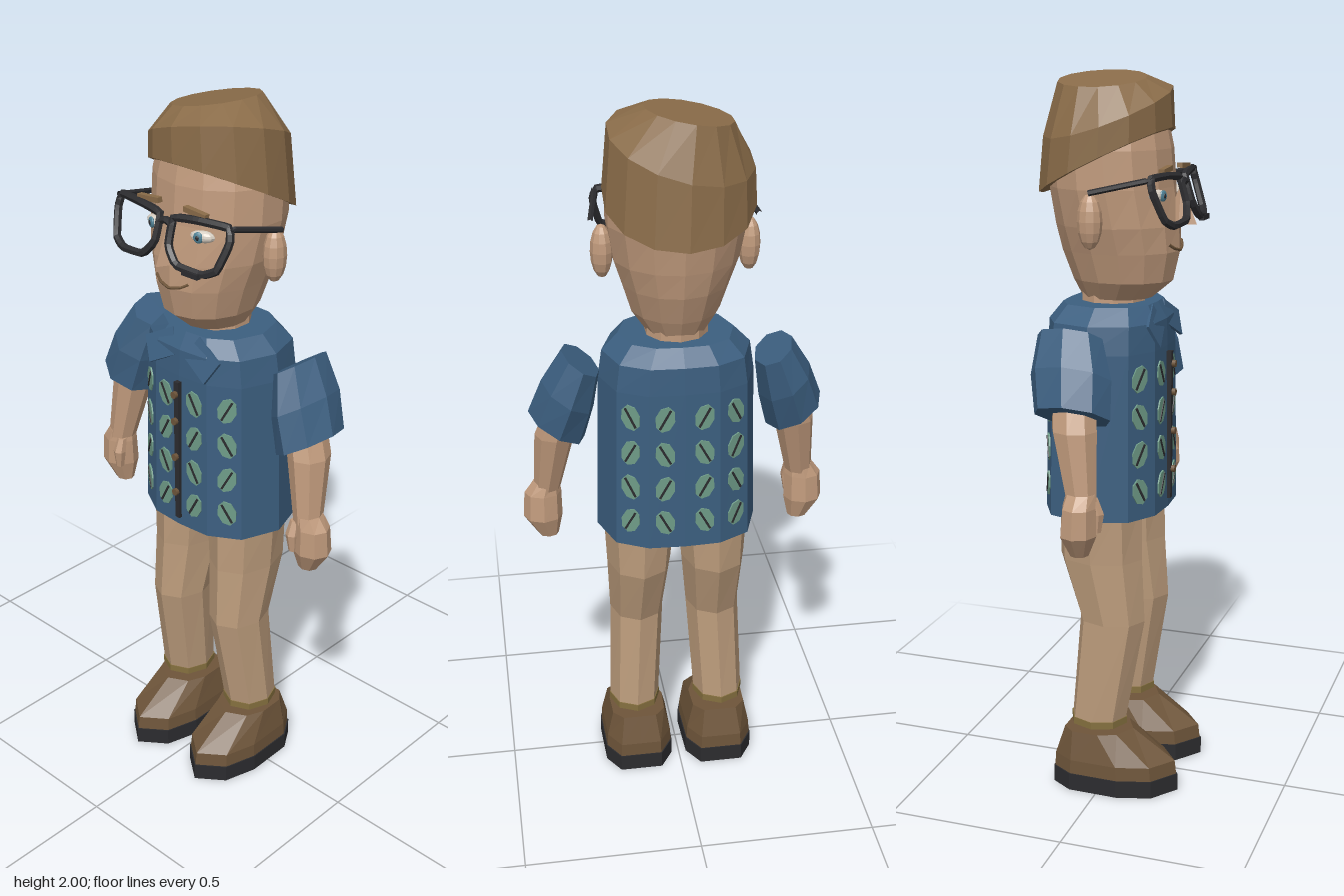
import * as THREE from 'three';

const mat = (name, color) => {
  const m = new THREE.MeshStandardMaterial({ color });
  m.name = name;
  return m;
};

// Ring of points, counter-clockwise from above, starting at the front
const ring = (cx, y, cz, rx, rz, n = 8, slope = 0) =>
  Array.from({ length: n }, (_, i) => {
    const a = (i / n) * Math.PI * 2, dx = rx * Math.sin(a);
    return [cx + dx, y + slope * dx, cz + rz * Math.cos(a)];
  });

// Mirrors a half outline (front to back on +x) into a closed one
const mirrorOutline = half =>
  [...half, ...half.slice(1, -1).reverse().map(([x, z]) => [-x, z])];

// Faceted, capped skin through rings listed from bottom to top
function loft(rings) {
  const v = [], n = rings[0].length;
  const mid = r => [0, 1, 2].map(k => r.reduce((s, p) => s + p[k], 0) / n);
  const low = rings[0], high = rings[rings.length - 1];
  for (let j = 0; j < n; j++) {
    const k = (j + 1) % n;
    for (let i = 0; i < rings.length - 1; i++) {
      const a = rings[i], b = rings[i + 1];
      v.push(...a[j], ...a[k], ...b[k], ...a[j], ...b[k], ...b[j]);
    }
    v.push(...mid(low), ...low[k], ...low[j], ...mid(high), ...high[j], ...high[k]);
  }
  const g = new THREE.BufferGeometry();
  g.setAttribute('position', new THREE.Float32BufferAttribute(v, 3));
  g.computeVertexNormals();
  return g;
}

const flat = g => {
  const f = g.toNonIndexed();
  f.computeVertexNormals();
  return f;
};

export function createModel() {
  const model = new THREE.Group();
  model.name = 'man';
  const skin = mat('skin', 0xc09a7c), trousers = mat('trousers', 0xbb9b7b);
  const hair = mat('hair', 0x8a6c49), shirt = mat('shirt', 0x3c5f80);
  const leather = mat('shoe leather', 0x6e553a), black = mat('black', 0x2c2c2f);
  const leaf = mat('leaf print', 0x6f9c88), white = mat('eye white', 0xd6cec2);
  const iris = mat('iris', 0x4f8296), sock = mat('sock', 0x85703f);

  const add = (name, geo, m, parent = model) => {
    const mesh = new THREE.Mesh(geo, m);
    mesh.name = name;
    parent.add(mesh);
    return mesh;
  };
  const box = (name, m, w, h, d, x, y, z, parent) => {
    const b = add(name, new THREE.BoxGeometry(w, h, d), m, parent);
    b.position.set(x, y, z);
    return b;
  };
  const tube = (name, pts, r, m, closed = false) => {
    const c = new THREE.CatmullRomCurve3(pts.map(p => new THREE.Vector3(...p)), closed, 'catmullrom', 0.15);
    return add(name, flat(new THREE.TubeGeometry(c, pts.length * 4, r, 6, closed)), m);
  };
  const blob = (name, m, r, p) => {
    const b = add(name, flat(new THREE.SphereGeometry(1, 10, 8).scale(...r)), m);
    b.position.set(...p);
    return b;
  };

  // Head: height, half width, front z, back z
  const skull = [
    [1.40, .085, .09, -.105], [1.45, .122, .15, -.13], [1.53, .147, .168, -.16], [1.60, .17, .165, -.175],
    [1.70, .186, .15, -.19], [1.80, .186, .142, -.195], [1.86, .17, .13, -.185], [1.92, .1, .08, -.14],
  ];
  add('head', loft(skull.map(([y, rx, f, b]) => ring(0, y, (f + b) / 2, rx, (f - b) / 2, 14))), skin);
  add('neck', loft([ring(0, 1.33, -.02, .09, .09, 10), ring(0, 1.43, -.02, .085, .09, 10)]), skin);

  // Hair: lopsided cap with a rising front edge
  const hairRing = (cx, cz, rx, rz, height) =>
    ring(cx, 0, cz, rx, rz, 14).map(([x, , z]) => [x, height((x - cx) / rx, (z - cz) / rz), z]);
  add('hair', loft([
    hairRing(-.006, -.036, .2, .182, (s, c) => 1.765 + .09 * c),
    hairRing(-.012, -.03, .19, .172, (s, c) => 1.895 + .05 * c + .045 * s),
    hairRing(-.03, -.04, .115, .12, s => 1.98 + .02 * s),
  ]), hair);

  // Face
  const nose = add('nose', flat(new THREE.CylinderGeometry(.003, .045, .1, 4).scale(.5, 1, 1)), skin);
  nose.position.set(0, 1.652, .17);
  tube('mouth', [-.058, -.035, 0, .035, .058].map(x => [x, 1.533 + 6 * x * x, .17 - 4.5 * x * x]), .004, leather);
  for (const s of [1, -1]) {
    blob('ear', skin, [.03, .073, .034], [s * .195, 1.622, -.018]);
    blob('eye', white, [.034, .016, .016], [s * .085, 1.683, .132]).rotation.y = s * .35;
    blob('iris', iris, [.014, .015, .006], [s * .083, 1.683, .146]).rotation.y = s * .35;
    blob('pupil', black, [.006, .007, .004], [s * .083, 1.683, .15]);
    const brow = box('eyebrow', hair, .075, .014, .016, s * .082, 1.75, .152);
    brow.rotation.z = -s * .08;
  }

  // Glasses: bowed and leaning out at the bottom
  const onLens = (x, y) => [x, y, .187 - .7 * x * x + (1.68 - y) * .3];
  const rim = [[.024, 1.728], [.1, 1.737], [.188, 1.735], [.198, 1.7], [.178, 1.63], [.14, 1.613], [.06, 1.62], [.024, 1.66]];
  for (const s of [1, -1]) {
    tube('glassesRim', rim.map(([x, y]) => onLens(s * x, y)), .011, black, true);
    tube('glassesTemple', [[s * .192, 1.735, .155], [s * .222, 1.698, -.012]], .008, black);
  }
  tube('glassesBridge', [onLens(-.026, 1.71), onLens(0, 1.718), onLens(.026, 1.71)], .01, black);
  box('rimClip', black, .055, .014, .014, .112, 1.61, .203);

  // Shirt body
  const half = [[0, .142], [.1, .135], [.185, .085], [.225, -.025], [.185, -.14], [.1, -.185], [0, -.19]];
  const outline = mirrorOutline(half);
  const shirtRing = (y, sx, sz) => outline.map(([x, z]) => [x * sx, y, z * sz]);
  add('shirtBody', loft([
    shirtRing(.81, 1, 1), shirtRing(1.27, .95, .96), shirtRing(1.345, .9, .94), shirtRing(1.39, .7, .76),
  ]), shirt);

  // Leaf prints on the four front and four back panels
  const panels = [[0, .55], [1, .58], [4, .45], [5, .45]];
  for (const s of [1, -1]) for (const [i, t] of panels) {
    const [x0, z0] = half[i], [x1, z1] = half[i + 1];
    const angle = Math.atan2(s * (z0 - z1), x1 - x0);
    for (let row = 0; row < 4; row++) {
      const y = .89 + row * .104, k = 1 - .1 * (y - .81);
      const print = new THREE.Group();
      print.name = 'leafPrint';
      print.position.set(s * (x0 + (x1 - x0) * t) * k, y, (z0 + (z1 - z0) * t) * k);
      print.rotation.y = angle;
      model.add(print);
      const tilt = (row + i) % 2 ? .5 : -.5;
      const disc = add('leaf', flat(new THREE.CylinderGeometry(1, 1, .008, 8).rotateX(Math.PI / 2).scale(.027, .038, 1)), leaf, print);
      disc.rotation.z = tilt * .5;
      box('leafVein', black, .006, .062, .005, 0, 0, .004, print).rotation.z = tilt;
    }
  }

  // Placket, buttons and collar
  box('placket', black, .016, .42, .014, 0, 1.045, .143);
  for (const y of [.92, 1.03, 1.14, 1.22]) {
    const b = add('button', new THREE.CylinderGeometry(.01, .01, .01, 8), leather);
    b.rotation.x = Math.PI / 2;
    b.position.set(0, y, .156);
  }
  for (const s of [1, -1]) {
    const flap = box('collarFlap', shirt, .1, .075, .008, s * .075, 1.335, .125);
    flap.rotation.set(-.35, 0, -s * .5);
  }

  for (const s of [1, -1]) {
    // Arms
    add('sleeve', loft([
      ring(s * .33, 1.132, -.02, .076, .105, 8, s * .57),
      ring(s * .298, 1.23, -.035, .07, .112, 8, s * .6),
      ring(s * .262, 1.33, -.05, .05, .09, 8, s * .63),
    ]), shirt);
    add('forearm', loft([
      ring(s * .361, .92, .015, .038, .042), ring(s * .335, 1.1, -.012, .056, .062), ring(s * .295, 1.22, -.03, .05, .06),
    ]), skin);
    add('hand', loft([
      ring(s * .362, .77, .01, .028, .025), ring(s * .376, .83, .012, .055, .05),
      ring(s * .374, .905, .014, .052, .046), ring(s * .364, .94, .015, .036, .04),
    ]), skin);
    add('thumb', loft([
      ring(s * .34, .83, .05, .012, .012, 6), ring(s * .338, .88, .052, .019, .018, 6), ring(s * .338, .92, .04, .014, .014, 6),
    ]), skin);

    // Legs
    add('trouserLeg', loft([
      ring(s * .127, .205, -.02, .073, .08), ring(s * .113, .5, .015, .078, .095),
      ring(s * .108, .68, -.02, .092, .12), ring(s * .104, .85, -.022, .104, .12),
    ]), trousers);
    add('sock', loft([ring(s * .127, .188, -.02, .075, .083), ring(s * .127, .208, -.02, .075, .083)]), sock);

    // Shoes: pointed outline stretched between heel and toe
    const foot = mirrorOutline([[0, 1], [.73, .84], [1, .57], [.97, .17], [.6, 0], [0, 0]]);
    const shoeRing = (y, w, toe, heel) => foot.map(([x, t]) => [s * .122 + x * w, y, heel + (toe - heel) * t]);
    add('sole', loft([shoeRing(0, .103, .214, -.14), shoeRing(.05, .103, .214, -.14)]), black);
    add('shoeUpper', loft([
      shoeRing(.05, .1, .21, -.137), shoeRing(.09, .098, .205, -.135), shoeRing(.172, .08, .08, -.11),
    ]), leather);
  }
  return model;
}
